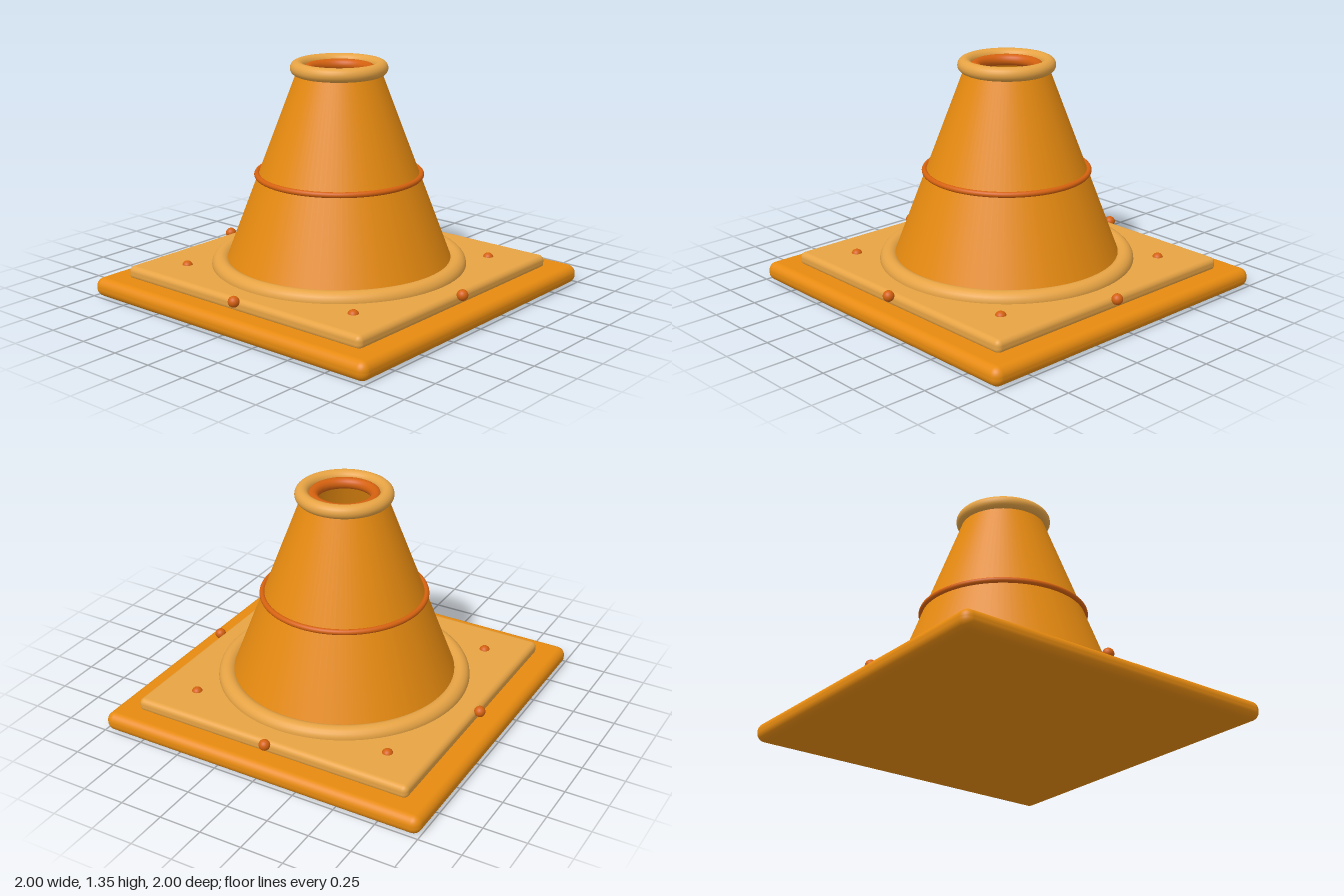
import * as THREE from 'three';
import { RoundedBoxGeometry } from 'three/addons/geometries/RoundedBoxGeometry.js';

export function createModel() {
  const model = new THREE.Group();
  model.name = 'trafficCone';

  const paint = (name, color, side = THREE.FrontSide) => {
    const m = new THREE.MeshStandardMaterial({ color, side });
    m.name = name;
    return m;
  };
  const orange = paint('orange', 0xe68a10, THREE.DoubleSide);
  const tan = paint('tan', 0xe6a344);
  const rust = paint('rust', 0xd4610f);

  const add = (name, geometry, material, x, y, z) => {
    const mesh = new THREE.Mesh(geometry, material);
    mesh.name = name;
    mesh.position.set(x, y, z);
    model.add(mesh);
    return mesh;
  };
  const ring = (name, radius, tube, y, material) =>
    add(name, new THREE.TorusGeometry(radius, tube, 20, 96).rotateX(Math.PI / 2), material, 0, y, 0);

  // Stacked square base
  add('basePlate', new RoundedBoxGeometry(2, 0.11, 2, 6, 0.05), orange, 0, 0.055, 0);
  add('upperPlate', new RoundedBoxGeometry(1.72, 0.08, 1.72, 6, 0.032), tan, 0, 0.135, 0);

  // Hollow tapered body, open at both ends
  add('coneBody', new THREE.CylinderGeometry(0.23, 0.66, 1.14, 96, 1, true), orange, 0, 0.74, 0);

  // Rings around the body and inside the mouth
  ring('footRing', 0.68, 0.054, 0.176, tan);
  ring('middleBand', 0.468, 0.016, 0.7, rust);
  ring('topRim', 0.236, 0.04, 1.31, tan);
  ring('mouthRing', 0.176, 0.033, 1.295, rust);

  // Eight round studs on a circle
  const studGeometry = new THREE.SphereGeometry(0.032, 24, 16);
  for (let i = 0; i < 8; i++) {
    const a = (i * Math.PI) / 4;
    add('stud', studGeometry, rust, 0.875 * Math.cos(a), 0.165, 0.875 * Math.sin(a));
  }

  return model;
}
